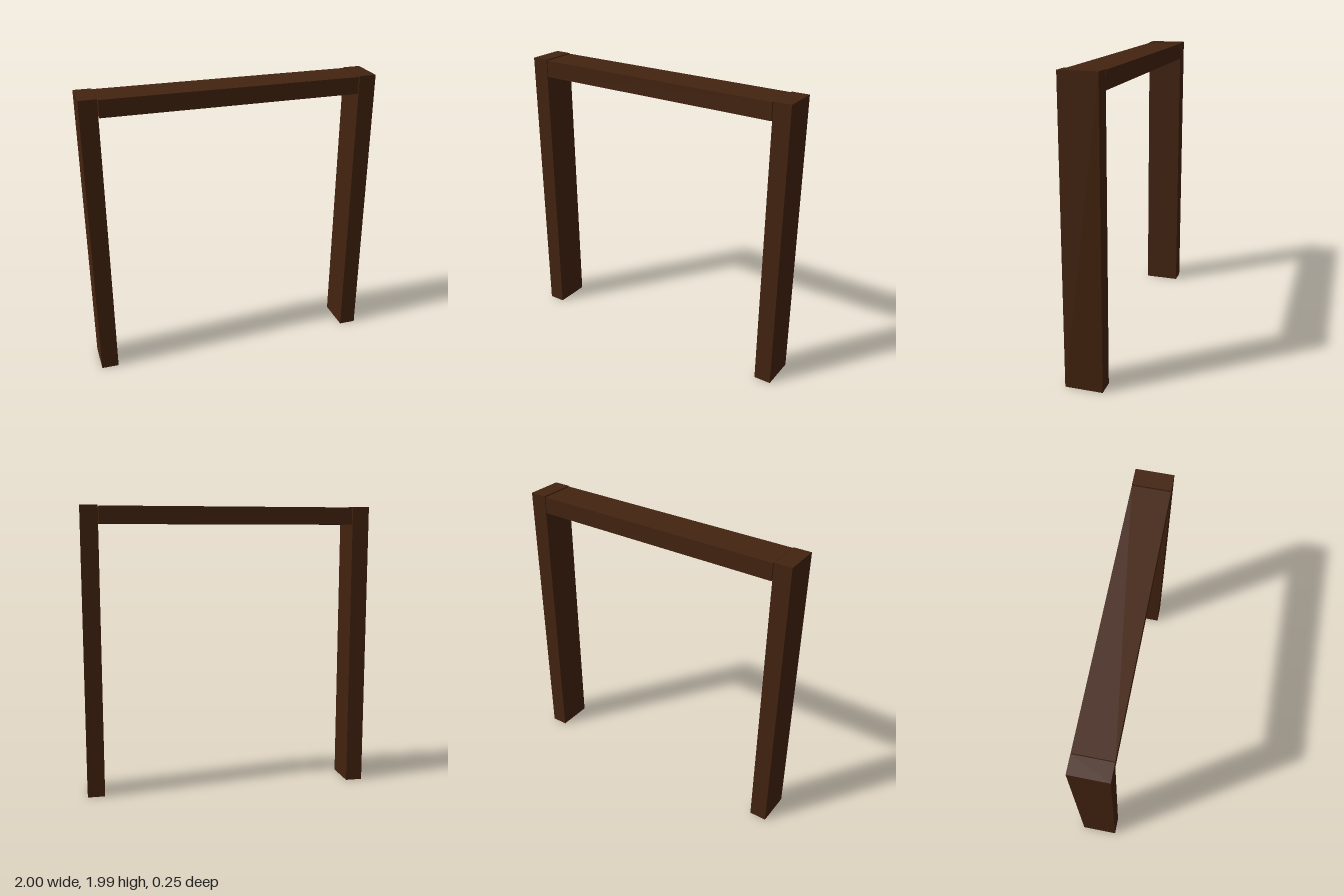
import * as THREE from 'three';

const HEIGHT = 1.99, DEPTH = 0.25, POST_WIDTH = 0.118;

export function createModel() {
  const group = new THREE.Group();
  group.name = 'doorFrame';
  const darkWood = new THREE.MeshStandardMaterial({ color: 0x43230f });
  darkWood.name = 'darkWood';

  const addBoard = (name, width, height, x, y) => {
    const board = new THREE.Mesh(new THREE.BoxGeometry(width, height, DEPTH), darkWood);
    board.name = name;
    board.position.set(x, y, 0);
    group.add(board);
  };

  // Upright posts on both sides
  for (const [name, side] of [['leftPost', 1], ['rightPost', -1]]) {
    addBoard(name, POST_WIDTH, HEIGHT, side * (1 - POST_WIDTH / 2), HEIGHT / 2);
  }

  // Top beam, set between the posts with a hairline gap at each end
  addBoard('topBeam', 1.752, 0.116, 0, 1.927);

  return group;
}
